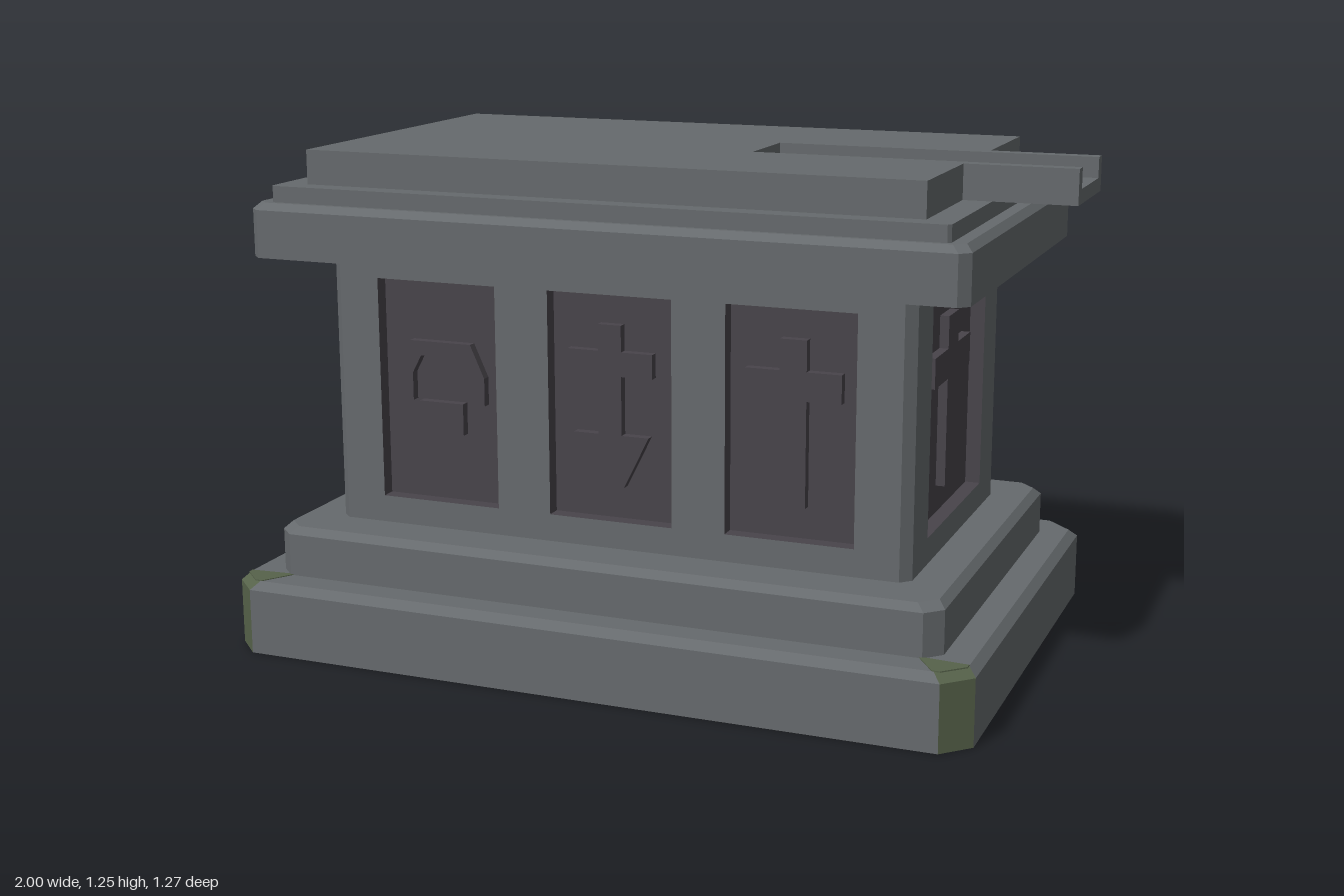
import * as THREE from 'three';

const stone = new THREE.MeshStandardMaterial({ color: 0x666a6d });
stone.name = 'grey stone';
const dark = new THREE.MeshStandardMaterial({ color: 0x48444a });
dark.name = 'dark panel stone';
const moss = new THREE.MeshStandardMaterial({ color: 0x56624a });
moss.name = 'mossy stone';

const CX = -0.05; // the tomb sits off centre because of the spout
const DEPTH = 0.04; // panel recess

function add(group, name, geometry, material) {
  const mesh = new THREE.Mesh(geometry, material);
  mesh.name = name;
  group.add(mesh);
  return mesh;
}

// Rectangle with cut corners, running counterclockwise from the front edge
function ring(hx, hz, c) {
  return [[-hx + c, hz], [hx - c, hz], [hx, hz - c], [hx, -hz + c],
    [hx - c, -hz], [-hx + c, -hz], [-hx, -hz + c], [-hx, hz - c]];
}

// Slab with cut corners and a bevelled top; front corners can use material 1
function tier(hx, hz, y0, y1, c, b) {
  const rings = [[y0, 0], [y1 - b, 0], [y1, b]].map(([y, inset]) =>
    ring(hx - inset, hz - inset, c).map(([x, z]) => [x + CX, y, z]));
  const geo = new THREE.BufferGeometry();
  const pos = [];
  const put = (mat, ...pts) => {
    geo.addGroup(pos.length / 3, pts.length, mat);
    pts.forEach(p => pos.push(...p));
  };
  for (let i = 0; i < 8; i++) {
    const j = (i + 1) % 8;
    const mat = i === 1 || i === 7 ? 1 : 0;
    for (let k = 0; k < 2; k++) {
      if (k === 1 && b === 0) continue;
      const [a, d] = [rings[k], rings[k + 1]];
      put(mat, a[i], a[j], d[j], a[i], d[j], d[i]);
    }
    put(0, [CX, y1, 0], rings[2][i], rings[2][j]);
    put(0, [CX, y0, 0], rings[0][j], rings[0][i]);
  }
  geo.setAttribute('position', new THREE.Float32BufferAttribute(pos, 3));
  geo.computeVertexNormals();
  return geo;
}

const shapeOf = pts => new THREE.Shape(pts.map(p => new THREE.Vector2(...p)));
const rect = (x0, x1, y0, y1) => [[x0, y0], [x1, y0], [x1, y1], [x0, y1]];
const extrude = (shape, depth) => new THREE.ExtrudeGeometry(shape, { depth, bevelEnabled: false });

// Extrude a floor-plan outline upwards
function plan(pts, y0, y1) {
  return extrude(shapeOf(pts), y1 - y0).rotateX(-Math.PI / 2).translate(0, y0, 0);
}

// Wall plate with sunken dark panels, facing +z with its back at z = 0
function wall(name, width, panels) {
  const g = new THREE.Group();
  g.name = name;
  const shape = shapeOf(rect(-width / 2, width / 2, 0.31, 0.99));
  for (const p of panels) {
    shape.holes.push(new THREE.Path(rect(...p).reverse().map(v => new THREE.Vector2(...v))));
    const floor = add(g, 'panelFloor', new THREE.PlaneGeometry(p[1] - p[0], p[3] - p[2]), dark);
    floor.position.set((p[0] + p[1]) / 2, (p[2] + p[3]) / 2, 0.002);
  }
  add(g, 'wallPlate', extrude(shape, DEPTH), [stone, dark]);
  return g;
}

function relief(group, name, pts) {
  add(group, name, extrude(shapeOf(pts), 0.025), dark);
}

function cross(x, w, y0, y1, arm, a0, a1) {
  return [[x - w, y0], [x + w, y0], [x + w, a0], [x + arm, a0], [x + arm, a1], [x + w, a1],
    [x + w, y1], [x - w, y1], [x - w, a1], [x - arm, a1], [x - arm, a0], [x - w, a0]];
}

export function createModel() {
  const model = new THREE.Group();
  model.name = 'stoneTomb';

  // Stepped base with mossy front corners
  add(model, 'base', tier(0.95, 0.635, 0, 0.185, 0.065, 0.02), [stone, moss]);
  add(model, 'plinth', tier(0.86, 0.545, 0.185, 0.31, 0.04, 0.018), [stone, stone]);
  for (const s of [-1, 1]) {
    const pts = [[0.93, 0.55], [0.93, 0.565], [0.88, 0.614], [0.86, 0.614], [0.81, 0.54]];
    const patch = pts.map(([x, z]) => [CX + s * x, -z]);
    add(model, 'mossPatch', plan(patch, 0.184, 0.187), moss);
  }

  // Body: core, corner posts and panelled walls
  const core = new THREE.BoxGeometry(1.42, 0.68, 0.74);
  add(model, 'bodyCore', core.translate(CX, 0.65, 0), stone);
  for (const sx of [-1, 1]) for (const sz of [-1, 1]) {
    const pts = [[0.71, 0.37], [0.75, 0.37], [0.75, 0.385], [0.725, 0.41], [0.71, 0.41]];
    add(model, 'cornerPost', plan(pts.map(([x, z]) => [CX + sx * x, sz * z]), 0.31, 0.99), stone);
  }

  const front = wall('frontWall', 1.42,
    [-0.46, 0, 0.455].map(x => [x - 0.16, x + 0.16, 0.378, 0.935]));
  front.position.set(CX, 0, 0.37);
  model.add(front);
  const back = wall('backWall', 1.42, []);
  back.position.set(CX, 0, -0.37);
  back.rotation.y = Math.PI;
  model.add(back);
  for (const s of [-1, 1]) {
    const side = wall('sideWall', 0.74, [[-0.257, 0.257, 0.375, 0.935]]);
    relief(side, 'sideCross', cross(0, 0.047, 0.445, 0.87, 0.168, 0.715, 0.79));
    side.position.x = CX + s * 0.71;
    side.rotation.y = s * Math.PI / 2;
    model.add(side);
  }

  // Front reliefs: skull, cross with arrow, cross
  const skull = [[-0.12, 0.63], [-0.12, 0.7], [-0.083, 0.782], [0.083, 0.782], [0.12, 0.7], [0.12, 0.63],
    [0.077, 0.63], [0.077, 0.7], [0.053, 0.745], [-0.053, 0.745], [-0.077, 0.7], [-0.077, 0.63]];
  relief(front, 'skullArch', skull.map(([x, y]) => [x - 0.46, y]));
  for (const x of [-0.04, 0, 0.04]) {
    relief(front, 'tooth', rect(x - 0.48, x - 0.44, 0.55, 0.63));
  }
  relief(front, 'arrowCross', cross(-0.005, 0.03, 0.59, 0.86, 0.11, 0.735, 0.795));
  relief(front, 'arrowHead', [[-0.1, 0.59], [-0.04, 0.46], [0.03, 0.46], [0.095, 0.59]]);
  relief(front, 'frontCross', cross(0.457, 0.033, 0.457, 0.86, 0.118, 0.715, 0.785));

  // Cornice and lid
  add(model, 'cornice', tier(0.9, 0.54, 0.99, 1.125, 0.025, 0.017), [stone, stone]);
  add(model, 'lidStep', tier(0.85, 0.51, 1.125, 1.165, 0.008, 0), [stone, stone]);
  const outline = [[-0.83, -0.455], [0.73, -0.455], [0.73, -0.135], [1, -0.135],
    [1, 0.135], [0.73, 0.135], [0.73, 0.455], [-0.83, 0.455]];
  add(model, 'lidFloor', plan(outline, 1.165, 1.2), stone);
  // Upper lid layer, notched for the drain channel
  const channel = [[1, -0.1], [0.2, -0.1], [0.2, 0.1], [1, 0.1]];
  add(model, 'lidTop', plan([...outline.slice(0, 4), ...channel, ...outline.slice(4)], 1.2, 1.25), stone);
  return model;
}
